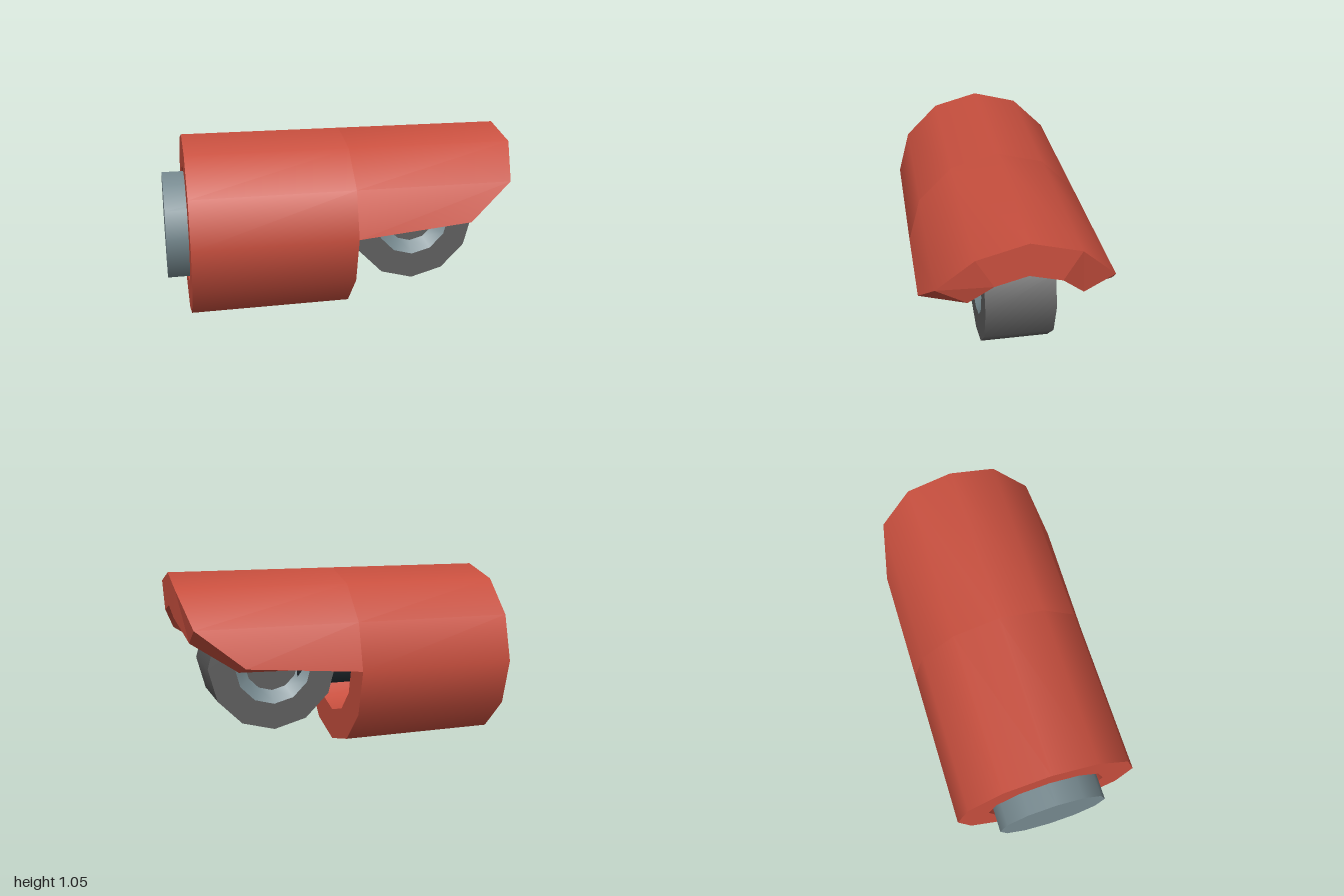
import * as THREE from 'three';
import { mergeGeometries } from 'three/addons/utils/BufferGeometryUtils.js';

const SIDES = 12, CY = 0.527;      // facets and height of the long axis
const R_OUT = 0.527, R_IN = 0.342; // sleeve radii
const SHOULDER = 0.035;            // where the full sleeve becomes the hood

// Turned part: each profile segment gets its own lathe, so profile edges stay sharp
function turned(points) {
  const bands = [];
  for (let i = 0; i < points.length - 1; i++) {
    const pair = [points[i], points[i + 1]].map(([r, h]) => new THREE.Vector2(r, h));
    bands.push(new THREE.LatheGeometry(pair, SIDES));
  }
  return mergeGeometries(bands);
}

// Surface between two rows of points
function strip(a, b, flat) {
  const index = [], n = a.length;
  for (let i = 0; i < n - 1; i++) index.push(i, n + i, n + i + 1, i, n + i + 1, i + 1);
  let geo = new THREE.BufferGeometry().setFromPoints([...a, ...b]);
  geo.setIndex(index);
  if (flat) geo = geo.toNonIndexed();
  geo.computeVertexNormals();
  return geo;
}

export function createModel() {
  const group = new THREE.Group();
  const paint = (name, color) => {
    const m = new THREE.MeshStandardMaterial({ color });
    m.name = name;
    return m;
  };
  const red = paint('red', 0xc84f3e);
  const steel = paint('steel', 0x778a90);
  const rubber = paint('dark grey', 0x5e5e5e);
  const black = paint('black metal', 0x263036);

  const add = (name, geo, mat, x = 0) => {
    const mesh = new THREE.Mesh(geo, mat);
    mesh.name = name;
    mesh.position.set(x, CY, 0);
    group.add(mesh);
  };
  const alongX = (pts) => turned(pts).rotateZ(-Math.PI / 2);
  const alongZ = (pts) => turned(pts).rotateX(Math.PI / 2);

  // Hollow sleeve
  add('sleeve', alongX([[R_IN, -0.88], [R_OUT, -0.88], [R_OUT, SHOULDER],
    [R_IN, SHOULDER], [R_IN, -0.88]]), red);

  // Hood: upper half of the sleeve, running forward to a rounded tip
  const tipX = [0.685, 0.94, 1, 1, 1, 0.94, 0.685];
  const arc = (r, front, sideY) => tipX.map((x, k) => {
    const a = (k * Math.PI) / 6;
    const y = k % 6 === 0 ? sideY : r * Math.sin(a);
    return new THREE.Vector3(front ? x : SHOULDER, y, r * Math.cos(a));
  });
  const outBack = arc(R_OUT, false, 0), outFront = arc(R_OUT, true, 0.058);
  const inBack = arc(R_IN, false, -0.016), inFront = arc(R_IN, true, 0.003);
  add('hoodOuter', strip(outBack, outFront), red);
  add('hoodInner', strip(inFront, inBack), red);
  add('hoodRim', strip([outBack[0], ...outFront, outBack[6]],
    [inBack[0], ...inFront, inBack[6]], true), red);

  // Plunger sticking out of the rear, and the rod to the roller
  add('plunger', alongX([[0, -1], [0.313, -1], [0.313, -0.25], [0, -0.25]]), steel);
  add('rod', alongX([[0, -0.26], [0.176, -0.26], [0.176, 0.3], [0, 0.3]]), black);

  // Roller with a bevelled steel socket and a sunken hub on each side
  add('rollerTread', alongZ([[0.227, -0.19], [0.377, -0.19], [0.377, 0.19], [0.227, 0.19]]), rubber, 0.45);
  add('rollerSockets', mergeGeometries([
    alongZ([[0.157, -0.14], [0.227, -0.19]]),
    alongZ([[0.227, 0.19], [0.157, 0.14]]),
  ]), steel, 0.45);
  add('rollerHub', alongZ([[0, -0.14], [0.157, -0.14], [0.157, 0.14], [0, 0.14]]), rubber, 0.45);

  return group;
}
